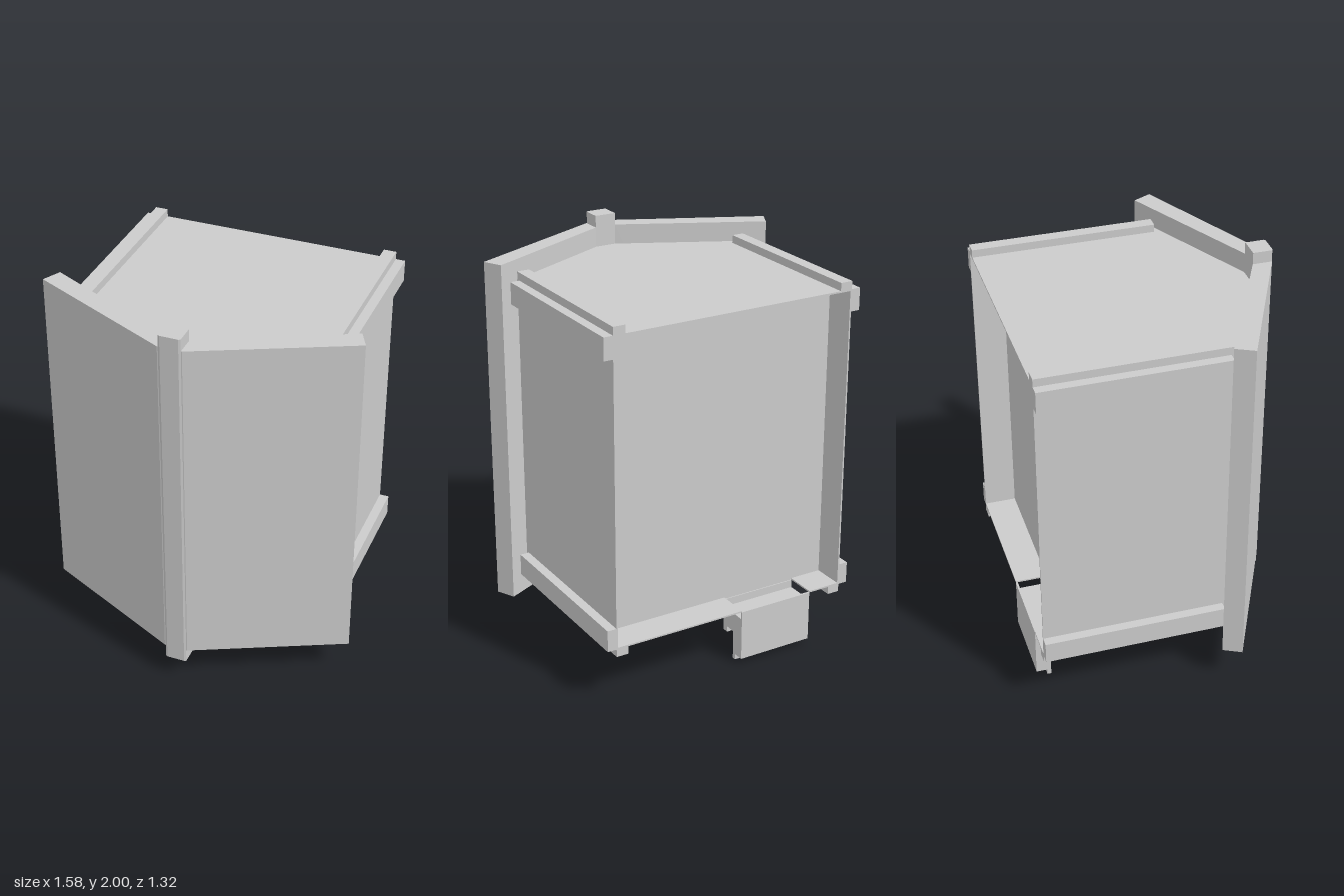
import * as THREE from 'three';

const material = new THREE.MeshStandardMaterial({ color: 0xcccccc, flatShading: true, side: THREE.DoubleSide });

export function createModel() {
  const model = new THREE.Group();

  const add = (name, geometry) => {
    const mesh = new THREE.Mesh(geometry, material);
    mesh.name = name;
    model.add(mesh);
    return mesh;
  };

  // Box given by its limits along each axis
  const box = (name, x0, x1, y0, y1, z0, z1) => {
    const g = new THREE.BoxGeometry(x1 - x0, y1 - y0, z1 - z0);
    g.translate((x0 + x1) / 2, (y0 + y1) / 2, (z0 + z1) / 2);
    return add(name, g);
  };

  const toPoints = (list) => list.map(([a, b]) => new THREE.Vector2(a, b));
  const rect = (x0, x1, z0, z1) => [[x0, z0], [x1, z0], [x1, z1], [x0, z1]];

  // Plan outline in (x, z), raised from y0 to y1, with optional holes
  const slab = (name, outline, y0, y1, holes = []) => {
    const flip = (list) => toPoints(list.map(([x, z]) => [x, -z]));
    const shape = new THREE.Shape(flip(outline));
    shape.holes = holes.map((h) => new THREE.Path(flip(h)));
    const g = new THREE.ExtrudeGeometry(shape, { depth: y1 - y0, bevelEnabled: false });
    g.rotateX(-Math.PI / 2);
    g.translate(0, y0, 0);
    return add(name, g);
  };

  const side = 0.638, back = -0.66, low = 0.29, high = 1.84, sheet = 0.008;

  // Folded front panel and its centre post
  slab('frontPanel', [
    [-0.79, 0.31], [-0.06, 0.655], [0.06, 0.655], [0.79, 0.31],
    [0.745, 0.22], [0.055, 0.56], [-0.055, 0.56], [-0.745, 0.22],
  ], 0.19, 1.94);
  slab('centrePost', [
    [-0.055, 0.56], [0.055, 0.56], [0.055, 0.655], [0.045, 0.66], [-0.045, 0.66], [-0.055, 0.655],
  ], 0.12, 2.0);

  // Top plate, and floor plate with a rear cut-out and a vent opening
  slab('topPlate', [
    [-side, back], [side, back], [side, 0.275], [0.055, 0.56], [-0.055, 0.56], [-side, 0.275],
  ], high - sheet, high);
  slab('floorPlate', [
    [-side, back], [-0.46, back], [-0.46, 0.19], [-0.06, 0.19], [-0.06, back],
    [side, back], [side, 0.275], [0.055, 0.56], [-0.055, 0.56], [-side, 0.275],
  ], low, low + sheet, [rect(0.02, 0.44, -0.07, 0.14)]);

  // Recessed vent plate with four slots
  const slots = [];
  for (const x of [0.05, 0.245]) {
    for (const z of [-0.045, 0.05]) slots.push(rect(x, x + 0.165, z, z + 0.065));
  }
  slab('ventPlate', rect(0.02, 0.44, -0.07, 0.14), low + sheet, low + 0.016, slots);

  // Recessed back wall
  box('backWall', -side, side, low, high, -0.5, -0.48);

  // Side walls and the stepped rails along their upper and lower edges
  for (const s of [-1, 1]) {
    const span = (a, b) => (s > 0 ? [a, b] : [-b, -a]);
    box('sideWall', ...span(side - sheet, side), low, high, back, 0.27);
    box('upperRailStrip', ...span(0.575, side), high, 1.88, back, 0.27);
    box('upperRailFlange', ...span(side, 0.685), 1.73, high, back, 0.25);
    box('lowerRailStrip', ...span(0.575, side), 0.25, low, back, 0.27);
    box('lowerRailFlange', ...span(side, 0.685), low, 0.4, back, 0.25);
  }

  // Stepped bracket hanging below the rear cut-out, profile in (z, y)
  const profile = new THREE.Shape(toPoints([
    [-0.66, 0.29], [-0.66, 0.03], [-0.605, 0.03], [-0.605, 0], [-0.585, 0], [-0.585, 0.15],
    [-0.53, 0.15], [-0.53, 0.12], [-0.505, 0.12], [-0.505, 0.25], [-0.65, 0.25], [-0.65, 0.29],
  ]));
  const bracket = new THREE.ExtrudeGeometry(profile, { depth: 0.4, bevelEnabled: false });
  bracket.rotateY(-Math.PI / 2); // profile z now runs along +z, depth along -x
  bracket.translate(-0.06, 0, 0);
  add('rearBracket', bracket);
  // Back wall tab reaching down to the bracket
  box('bracketTab', -0.46, -0.06, 0.12, low, -0.505, -0.497);

  return model;
}
